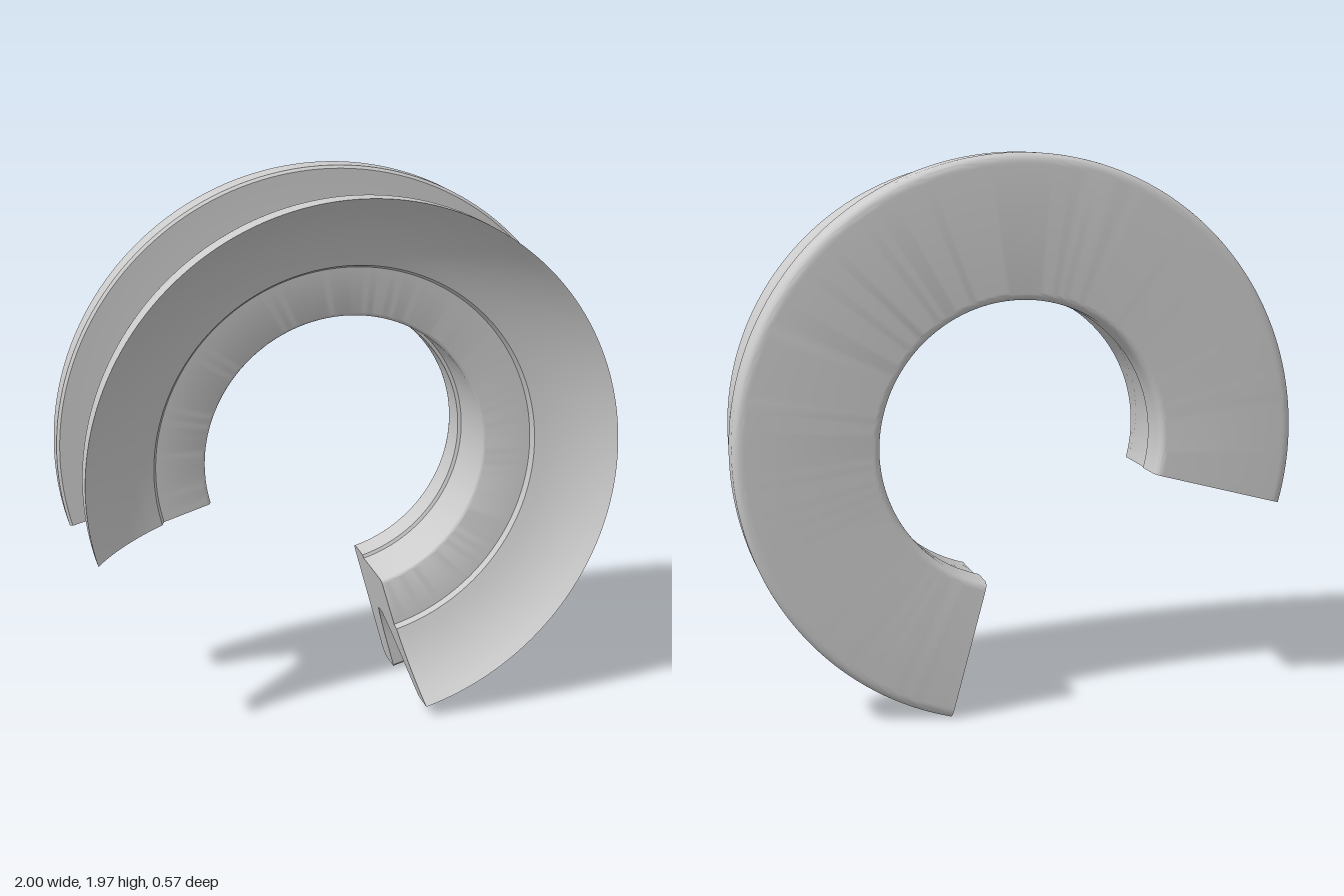
import * as THREE from 'three';
import { toCreasedNormals } from 'three/addons/utils/BufferGeometryUtils.js';

const START = THREE.MathUtils.degToRad(-75); // first cut, counted from +x
const SWEEP = THREE.MathUtils.degToRad(270);
const CENTRE_Y = 0.966;

// Closed cross-section: x is the radius, y is the depth along z.
function crossSection() {
  const s = new THREE.Shape();
  // rounded back face of the flange and its rim
  s.moveTo(0.53, -0.285);
  s.lineTo(0.96, -0.285);
  s.quadraticCurveTo(1, -0.285, 1, -0.25);
  s.lineTo(1, -0.165);
  s.lineTo(0.99, -0.155);
  // flange front, curving into the neck
  s.lineTo(0.86, -0.155);
  s.quadraticCurveTo(0.76, -0.15, 0.72, -0.13);
  s.quadraticCurveTo(0.714, -0.1, 0.72, -0.08);
  // outside of the flared lip
  s.bezierCurveTo(0.755, -0.03, 0.775, 0, 0.81, 0.035);
  s.lineTo(0.925, 0.155);
  s.quadraticCurveTo(0.957, 0.185, 0.957, 0.21);
  s.lineTo(0.957, 0.285);
  // concave inside of the lip, then the small step
  s.quadraticCurveTo(0.86, 0.17, 0.7, 0.122);
  s.lineTo(0.69, 0.1);
  // inner band and bore
  s.lineTo(0.525, 0.085);
  s.quadraticCurveTo(0.515, 0.083, 0.512, 0.07);
  s.lineTo(0.512, -0.15);
  s.lineTo(0.5, -0.155);
  s.lineTo(0.5, -0.245);
  s.quadraticCurveTo(0.5, -0.285, 0.53, -0.285);
  return s;
}

export function createModel() {
  const group = new THREE.Group();
  group.name = 'cutawayFlangedRing';
  const material = new THREE.MeshStandardMaterial({ color: 0xcccccc });
  const capMaterial = new THREE.MeshStandardMaterial({ color: 0xcccccc, side: THREE.DoubleSide });
  const section = crossSection();

  // three-quarter revolved body, axis turned to z
  const lathe = new THREE.LatheGeometry(section.getPoints(8), 128, START + Math.PI / 2, SWEEP);
  lathe.rotateX(Math.PI / 2);
  const body = new THREE.Mesh(toCreasedNormals(lathe, 0.5), material);
  body.name = 'ringBody';
  group.add(body);

  // flat faces closing both cuts
  [START, START + SWEEP].forEach((angle, i) => {
    const radial = new THREE.Vector3(Math.cos(angle), Math.sin(angle), 0);
    const axis = new THREE.Vector3(0, 0, 1);
    const normal = new THREE.Vector3().crossVectors(radial, axis);
    const geometry = new THREE.ShapeGeometry(section, 8);
    geometry.applyMatrix4(new THREE.Matrix4().makeBasis(radial, axis, normal));
    const cap = new THREE.Mesh(geometry, capMaterial);
    cap.name = i ? 'rightCutFace' : 'lowerCutFace';
    group.add(cap);
  });

  group.position.y = CENTRE_Y;
  return group;
}
